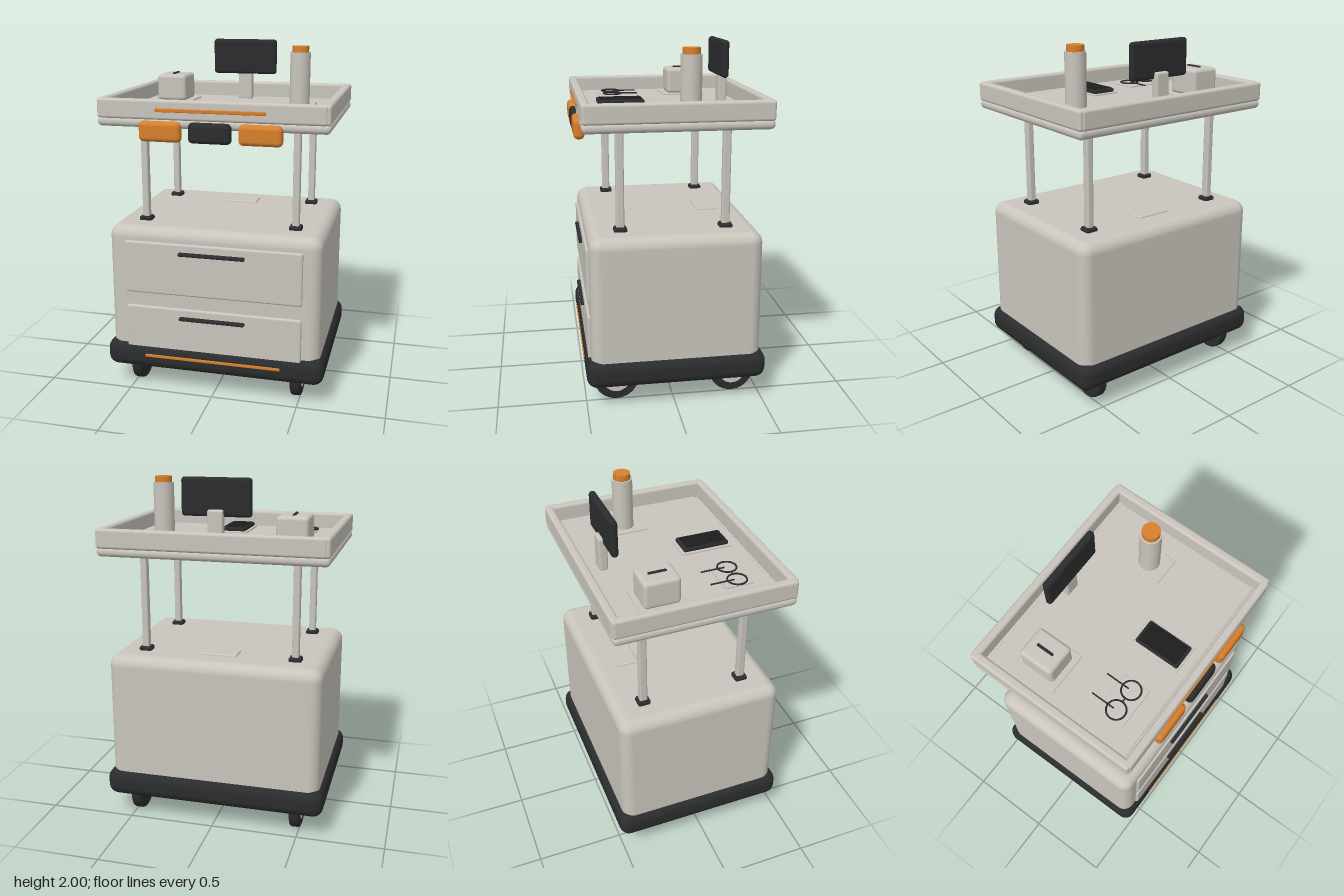
import * as THREE from 'three';
import { RoundedBoxGeometry } from 'three/addons/geometries/RoundedBoxGeometry.js';

const material = (name, color) => {
  const m = new THREE.MeshStandardMaterial({ color });
  m.name = name;
  return m;
};

export function createModel() {
  const model = new THREE.Group();
  model.name = 'trolley';
  const shell = material('warm grey shell', 0xc9c5bd);
  const dark = material('charcoal', 0x2b2c2d);
  const black = material('black', 0x1c1c1d);
  const orange = material('orange', 0xd8802c);

  const add = (name, geometry, mat, x = 0, y = 0, z = 0) => {
    const mesh = new THREE.Mesh(geometry, mat);
    mesh.name = name;
    mesh.position.set(x, y, z);
    model.add(mesh);
    return mesh;
  };
  // rounded box given by its [min, max] range on each axis
  const block = (name, mat, [x0, x1], [y0, y1], [z0, z1], r) =>
    add(name, new RoundedBoxGeometry(x1 - x0, y1 - y0, z1 - z0, 4, r), mat,
      (x0 + x1) / 2, (y0 + y1) / 2, (z0 + z1) / 2);

  // bumper base and cabinet
  block('base', dark, [-0.645, 0.645], [0.13, 0.29], [-0.52, 0.5], 0.06);
  block('baseStrip', orange, [-0.4, 0.4], [0.213, 0.231], [0.48, 0.505], 0.004);
  block('cabinet', shell, [-0.617, 0.617], [0.18, 0.995], [-0.49, 0.47], 0.065);
  block('cabinetTopPlate', shell, [-0.105, 0.105], [0.985, 1.005], [-0.335, -0.21], 0.008);

  // drawers with slim pulls
  for (const top of [0.915, 0.525]) {
    block('drawer', shell, [-0.515, 0.515], [top - 0.31, top], [0.43, 0.484], 0.012);
    block('drawerHandle', dark, [-0.192, 0.192], [top - 0.066, top - 0.046], [0.475, 0.505], 0.008);
  }

  // wheels with pale outer hubs
  const tyreProfile = [[0.001, -0.03], [0.115, -0.03], [0.123, -0.026], [0.127, -0.018],
    [0.127, 0.018], [0.123, 0.026], [0.115, 0.03], [0.001, 0.03]]
    .map(([r, h]) => new THREE.Vector2(r, h));
  const tyreGeometry = new THREE.LatheGeometry(tyreProfile, 40);
  const hubGeometry = new THREE.CylinderGeometry(0.076, 0.076, 0.008, 32);
  for (const sx of [-1, 1]) {
    for (const z of [0.325, -0.35]) {
      add('wheel', tyreGeometry, dark, sx * 0.479, 0.127, z).rotation.z = Math.PI / 2;
      add('wheelHub', hubGeometry, shell, sx * 0.507, 0.127, z).rotation.z = Math.PI / 2;
    }
    // posts and their feet
    for (const z of [0.287, -0.305]) {
      const x = sx * 0.442;
      block('post', shell, [x - 0.02, x + 0.02], [0.98, 1.6], [z - 0.023, z + 0.023], 0.01);
      block('postFoot', dark, [x - 0.037, x + 0.037], [0.985, 1.018], [z - 0.037, z + 0.037], 0.014);
    }
  }

  // tray: slab, rim and floor mat
  block('traySlab', shell, [-0.645, 0.645], [1.57, 1.625], [-0.52, 0.495], 0.026);
  for (const [z0, z1] of [[-0.525, -0.477], [0.45, 0.498]]) {
    block('trayRim', shell, [-0.628, 0.628], [1.615, 1.725], [z0, z1], 0.016);
  }
  for (const s of [-1, 1]) {
    block('trayRimSide', shell, [s * 0.62 - 0.025, s * 0.62 + 0.025], [1.615, 1.725], [-0.52, 0.492], 0.016);
  }
  block('trayMat', shell, [-0.59, 0.59], [1.61, 1.636], [-0.46, 0.43], 0.006);
  block('trayStrip', orange, [-0.305, 0.305], [1.66, 1.68], [0.48, 0.506], 0.004);

  // pouches under the front edge
  [[-0.278, orange], [0, dark], [0.278, orange]].forEach(([x, mat]) =>
    block('pouch', mat, [x - 0.119, x + 0.119], [1.498, 1.61], [0.465, 0.525], 0.026));

  // thin pads under the objects
  const pads = [[-0.53, -0.28, -0.33, -0.07], [0.29, 0.47, -0.23, 0],
    [-0.06, 0.11, 0.085, 0.38], [-0.455, -0.225, 0.165, 0.33]];
  for (const [x0, x1, z0, z1] of pads) {
    block('pad', shell, [x0, x1], [1.63, 1.645], [z0, z1], 0.004);
  }

  // display
  block('displayStand', shell, [-0.044, 0.044], [1.63, 1.83], [-0.395, -0.345], 0.012);
  block('display', dark, [-0.197, 0.197], [1.79, 2], [-0.37, -0.33], 0.019);

  // bottle
  add('bottle', new THREE.CylinderGeometry(0.059, 0.059, 0.305, 40), shell, 0.382, 1.7925, -0.115);
  add('bottleCap', new THREE.CylinderGeometry(0.049, 0.049, 0.036, 40), orange, 0.382, 1.962, -0.115);

  // dispenser box with slot
  block('dispenser', shell, [-0.495, -0.315], [1.64, 1.797], [-0.305, -0.1], 0.022);
  block('dispenserSlot', dark, [-0.412, -0.397], [1.79, 1.805], [-0.252, -0.15], 0.004);

  // tablet
  block('tablet', dark, [-0.045, 0.097], [1.64, 1.667], [0.1, 0.37], 0.01);
  block('tabletScreen', black, [-0.035, 0.087], [1.66, 1.67], [0.115, 0.355], 0.003);

  // spectacles
  const ring = new THREE.TorusGeometry(0.053, 0.005, 8, 40);
  for (const x of [-0.411, -0.281]) {
    add('spectacleRim', ring, dark, x, 1.655, 0.25).rotation.x = Math.PI / 2;
    block('spectacleArm', dark, [x - 0.004, x + 0.004], [1.651, 1.659], [0.095, 0.235], 0.003);
  }
  block('spectacleBridge', dark, [-0.36, -0.332], [1.651, 1.659], [0.246, 0.254], 0.003);

  return model;
}
